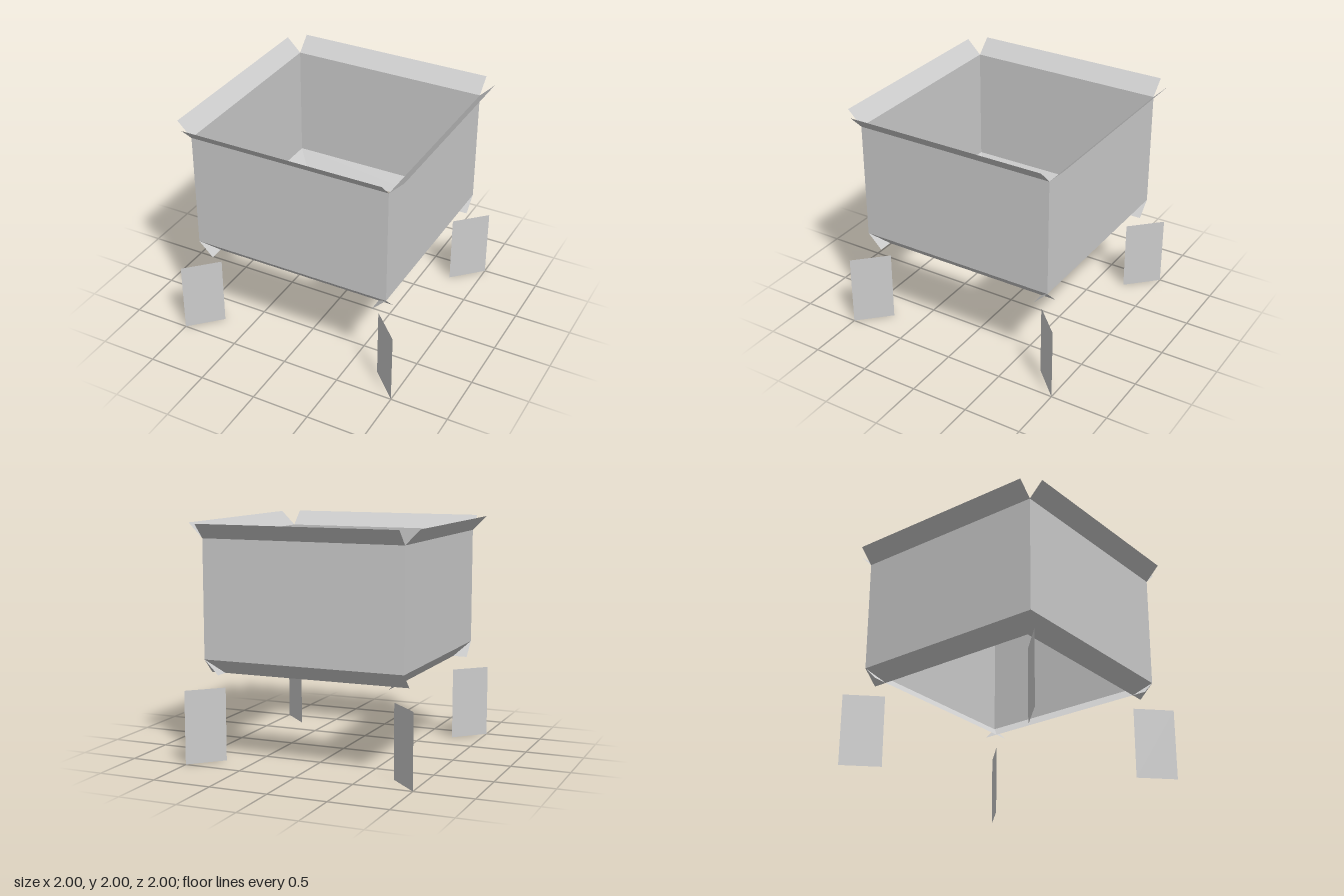
import * as THREE from 'three';

export function createModel() {
  const model = new THREE.Group();
  model.name = 'openBox';
  const lightGrey = new THREE.MeshStandardMaterial({ color: 0xcccccc, side: THREE.DoubleSide, flatShading: true });
  lightGrey.name = 'lightGrey';

  const half = 0.875; // half width of the box
  const lip = 0.125;  // reach of a flap, in height and in depth
  const bottom = 0.875;
  const top = 1.875;

  function addSheet(parent, name, width, height, position, tilt = 0, turn = 0) {
    const geometry = new THREE.PlaneGeometry(width, height).rotateX(tilt).rotateY(turn);
    const mesh = new THREE.Mesh(geometry, lightGrey);
    mesh.name = name;
    mesh.position.set(...position);
    parent.add(mesh);
  }

  ['front', 'left', 'back', 'right'].forEach((label, i) => {
    const side = new THREE.Group();
    side.name = label + 'Side';
    side.rotation.y = i * Math.PI / 2;

    // Upright wall
    addSheet(side, label + 'Wall', 2 * half, top - bottom, [0, (top + bottom) / 2, half]);
    // Upper flap flares outwards, lower flap slopes inwards
    addSheet(side, label + 'TopFlap', 2 * half, lip * Math.SQRT2, [0, top + lip / 2, half + lip / 2], Math.PI / 4);
    addSheet(side, label + 'BottomFlap', 2 * half, lip * Math.SQRT2, [0, bottom - lip / 2, half - lip / 2], Math.PI / 4);
    // Free-standing corner leg, set along the diagonal
    addSheet(side, label + 'CornerLeg', 0.25 * Math.SQRT2, 0.625, [half, 0.3125, half], 0, -Math.PI / 4);

    model.add(side);
  });

  return model;
}
